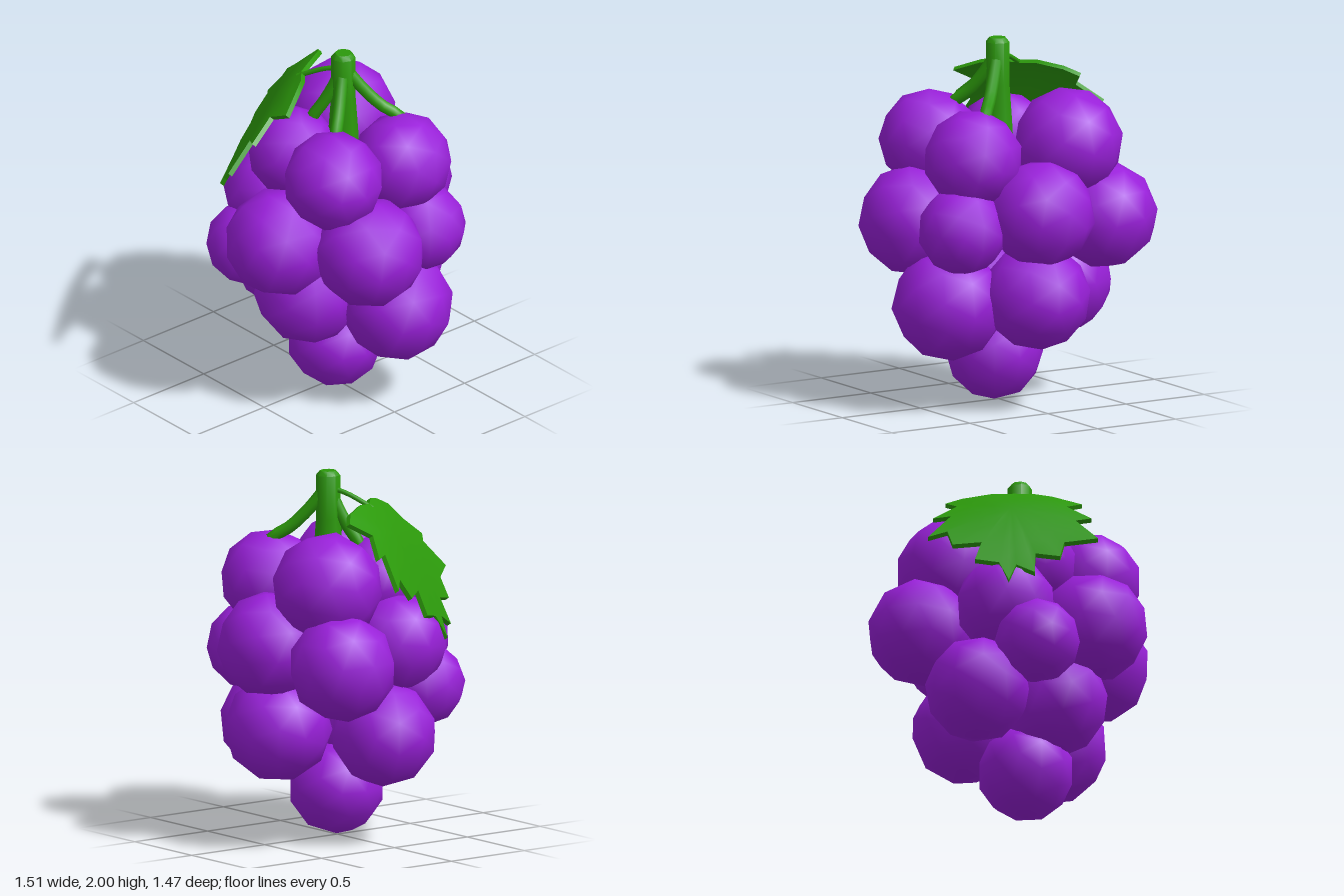
import * as THREE from 'three';
import { toCreasedNormals } from 'three/addons/utils/BufferGeometryUtils.js';

const skin = new THREE.MeshStandardMaterial({ color: 0x9a20db });
skin.name = 'grape purple';
const green = new THREE.MeshStandardMaterial({ color: 0x2c990b });
green.name = 'leaf green';

const V = (x, y, z) => new THREE.Vector3(x, y, z);

function add(parent, name, geometry, material) {
  const mesh = new THREE.Mesh(geometry, material);
  mesh.name = name;
  parent.add(mesh);
  return mesh;
}

// Grapes: x, y, z, radius
const GRAPES = [
  // top tier
  [0.285, 1.42, 0.25, 0.27], [0.305, 1.385, -0.225, 0.267],
  [-0.27, 1.43, -0.28, 0.295], [-0.14, 1.4, 0.17, 0.245],
  // middle tier
  [0.06, 1.02, 0.44, 0.295], [0.45, 1.01, 0.14, 0.3],
  [0.405, 1.01, -0.275, 0.24], [0.01, 1.09, -0.45, 0.29],
  [-0.465, 1.02, -0.33, 0.29], [-0.33, 1.09, 0.15, 0.27],
  [-0.305, 0.835, 0.345, 0.23],
  // lower tier
  [0.02, 0.63, 0.2, 0.295], [0.39, 0.58, -0.11, 0.305],
  [0.01, 0.63, -0.4, 0.29], [-0.395, 0.61, 0.01, 0.285],
  // bottom
  [0.02, 0.262, 0.01, 0.26],
];

// Leaf outline seen from above: x, z
const LEAF = [
  [-0.19, 0.07], [-0.10, 0.15], [-0.04, 0.24], [0.04, 0.38], [-0.09, 0.38],
  [-0.065, 0.53], [-0.14, 0.48], [-0.14, 0.635], [-0.265, 0.5], [-0.32, 0.515],
  [-0.39, 0.4], [-0.44, 0.435], [-0.48, 0.34], [-0.54, 0.335], [-0.53, 0.26],
  [-0.6, 0.15], [-0.53, 0.14], [-0.63, 0.02], [-0.6, -0.04], [-0.68, -0.11],
  [-0.52, -0.08], [-0.575, -0.16], [-0.44, -0.1], [-0.39, -0.22],
  [-0.32, -0.16], [-0.23, -0.02],
];

// Drooping leaf plate: rings shrink to the middle, height follows a curve
function leafGeometry() {
  const cx = -0.3, cz = 0.16, rings = 4;
  const down = V(0.65, -0.58, -0.49).multiplyScalar(0.026);
  const point = (i, k, under) => {
    const [px, pz] = LEAF[i % LEAF.length];
    const x = cx + (px - cx) * k / rings;
    const z = cz + (pz - cz) * k / rings;
    // s runs from stalk to tip, t across
    const s = -0.8 * (x + 0.19) + 0.6 * (z - 0.07);
    const t = 0.6 * (x + 0.19) + 0.8 * (z - 0.07);
    const p = V(x, 1.835 - 0.75 * s - 2 * s * s - (0.45 - 1.4 * s) * t * t, z);
    return under ? p.add(down) : p;
  };
  const out = [];
  const tri = (...pts) => pts.forEach((p) => out.push(p.x, p.y, p.z));
  for (let i = 0; i < LEAF.length; i++) {
    for (let k = 0; k < rings; k++) {
      for (const under of [false, true]) {
        const a = point(i, k, under), b = point(i + 1, k, under);
        const c = point(i + 1, k + 1, under), d = point(i, k + 1, under);
        if (under) tri(a, d, c); else tri(a, c, d);
        if (k > 0) { if (under) tri(a, c, b); else tri(a, b, c); }
      }
    }
    // rim
    const a = point(i, rings, false), b = point(i + 1, rings, false);
    const c = point(i + 1, rings, true), d = point(i, rings, true);
    tri(a, b, c);
    tri(a, c, d);
  }
  const geometry = new THREE.BufferGeometry();
  geometry.setAttribute('position', new THREE.Float32BufferAttribute(out, 3));
  return toCreasedNormals(geometry, 0.6);
}

function tube(points, radius) {
  return new THREE.TubeGeometry(new THREE.CatmullRomCurve3(points), 8, radius, 8);
}

export function createModel() {
  const model = new THREE.Group();
  model.name = 'grapeBunch';

  // Low-sided round grapes, each turned differently
  const bunch = new THREE.Group();
  bunch.name = 'grapes';
  model.add(bunch);
  GRAPES.forEach(([x, y, z, r], i) => {
    const grape = add(bunch, 'grape' + (i + 1), new THREE.IcosahedronGeometry(r * 1.015, 1), skin);
    grape.position.set(x, y, z);
    if (i < GRAPES.length - 1) grape.rotation.set(i * 1.3, i * 2.1, i * 0.7);
  });

  // Main stem with bevelled top and slightly flared foot
  const profile = [[0.088, 1.4], [0.08, 1.54], [0.066, 1.74], [0.066, 1.975], [0.045, 2], [0, 2]]
    .map(([r, y]) => new THREE.Vector2(r, y));
  const stem = add(model, 'stem', toCreasedNormals(new THREE.LatheGeometry(profile, 8), 0.9), green);
  stem.position.set(0.03, 0, -0.04);

  // Side stems bending down into the top grapes
  for (const [x, y, z] of [[0.25, 1.62, -0.26], [0.2, 1.62, 0.16], [-0.09, 1.6, 0.08]]) {
    const at = (f, h) => V(0.03 + (x - 0.03) * f, h, -0.04 + (z + 0.04) * f);
    add(model, 'sideStem', tube([at(0.05, 1.9), at(0.3, 1.8), at(0.65, 1.69), at(1, y), at(1.1, y - 0.06)], 0.034), green);
  }

  // Leaf with its thin stalk
  add(model, 'leafStalk', tube([V(0.03, 1.91, -0.04), V(-0.07, 1.88, 0.015), V(-0.2, 1.81, 0.09)], 0.014), green);
  add(model, 'leaf', leafGeometry(), green);

  return model;
}
